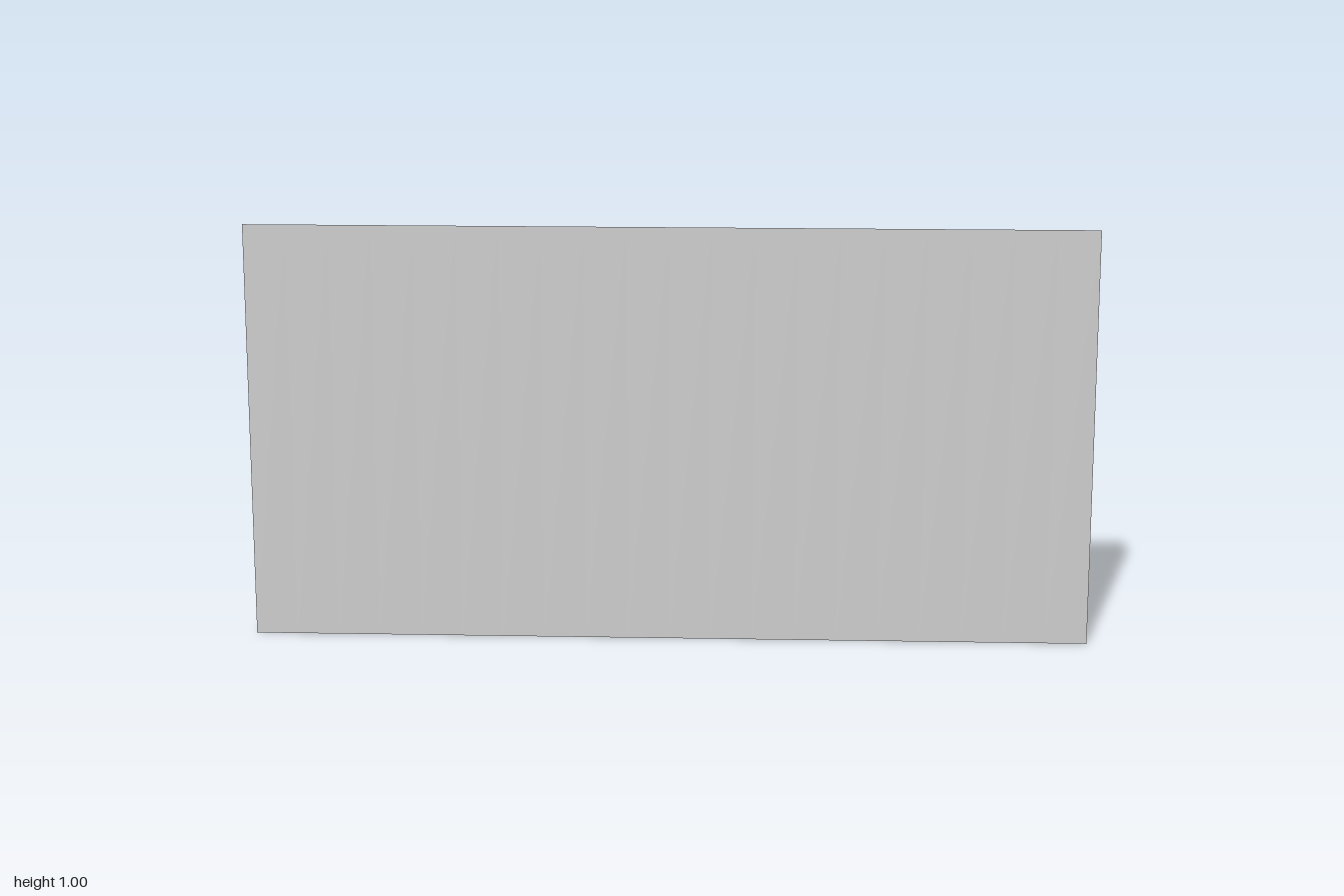
import * as THREE from 'three';
import { toCreasedNormals } from 'three/addons/utils/BufferGeometryUtils.js';

const material = new THREE.MeshStandardMaterial({ color: 0xcccccc });

// linear lookup in a list of [x, value] pairs
function sample(table, x) {
  for (let i = 1; i < table.length; i++) {
    const [x0, a] = table[i - 1], [x1, b] = table[i];
    if (x <= x1) return a + (b - a) * (x - x0) / (x1 - x0);
  }
  return table[table.length - 1][1];
}

// how far the lip of each rail stands out behind the wall, along x
const lowerLip = [[-1, 0.055], [-0.8, 0.061], [-0.2, 0.058], [0, 0.052], [0.5, 0.047], [0.75, 0.042], [1, 0.053]];
const upperLip = [[-1, 0.045], [-0.5, 0.047], [0, 0.053], [0.5, 0.053], [0.75, 0.042], [1, 0.041]];

// wall with upper and lower rails: one profile swept along x, lips wavering
function wallGeometry() {
  const profile = [[-0.063, 0], [0.04, 0.02], [0.05, 0.23], [-0.016, 0.25],
    [-0.016, 0.75], [0.05, 0.765], [0.04, 0.98], [-0.063, 1]];
  const shape = new THREE.Shape(profile.map(([u, y]) => new THREE.Vector2(u, y)));
  const geo = new THREE.ExtrudeGeometry(shape, { depth: 2, steps: 20, bevelEnabled: false });
  geo.rotateY(Math.PI / 2).translate(-1, 0, 0);
  const p = geo.attributes.position;
  for (let i = 0; i < p.count; i++) {
    const x = p.getX(i), y = p.getY(i);
    if (Math.abs(y - 0.23) < 0.001) p.setZ(i, -sample(lowerLip, x));
    if (Math.abs(y - 0.765) < 0.001) p.setZ(i, -sample(upperLip, x));
  }
  return toCreasedNormals(geo, 0.5);
}

// stone with a bevelled, tilted back face; z values at its lower and upper edge
function stoneGeometry(x0, x1, y0, y1, zLow, zHigh, bevel) {
  const geo = new THREE.BoxGeometry(1, 1, 1);
  const p = geo.attributes.position;
  for (let i = 0; i < p.count; i++) {
    const sx = p.getX(i) * 2, sy = p.getY(i) * 2, back = p.getZ(i) < 0;
    const x = sx > 0 ? x1 : x0, y = sy > 0 ? y1 : y0;
    // ends flush with the wall edge keep no side bevel
    const inset = back && Math.abs(x) < 0.99 ? bevel : 0;
    p.setXYZ(i, x - sx * inset, y - (back ? sy * bevel : 0),
      back ? (sy > 0 ? zHigh : zLow) : 0.018);
  }
  return toCreasedNormals(geo, 0.75);
}

export function createModel() {
  const model = new THREE.Group();
  const add = (name, geo) => {
    const mesh = new THREE.Mesh(geo, material);
    mesh.name = name;
    model.add(mesh);
  };

  add('wall', wallGeometry());

  // each stone: x from, x to, z at lower edge, z at upper edge, bevel
  const rows = [
    { name: 'lowerStone', y0: 0.25, y1: 0.505, stones: [
      [-1, -0.75, 0.003, 0.003, 0.02], [-0.75, -0.25, 0.003, 0.002, 0.02],
      [-0.25, 0.25, 0.003, 0, 0.02], [0.25, 0.75, -0.009, -0.014, 0.02],
      [0.75, 1, 0.008, 0.006, 0.016]] },
    { name: 'upperStone', y0: 0.505, y1: 0.75, stones: [
      [-1, -0.5, 0.005, 0.005, 0.02], [-0.5, 0, -0.002, 0.001, 0.025],
      [0, 0.5, -0.028, -0.02, 0.025], [0.5, 1, 0.008, 0.009, 0.018]] },
  ];
  for (const row of rows) {
    row.stones.forEach(([x0, x1, zLow, zHigh, bevel], i) =>
      add(row.name + (i + 1), stoneGeometry(x0, x1, row.y0, row.y1, zLow, zHigh, bevel)));
  }
  return model;
}
